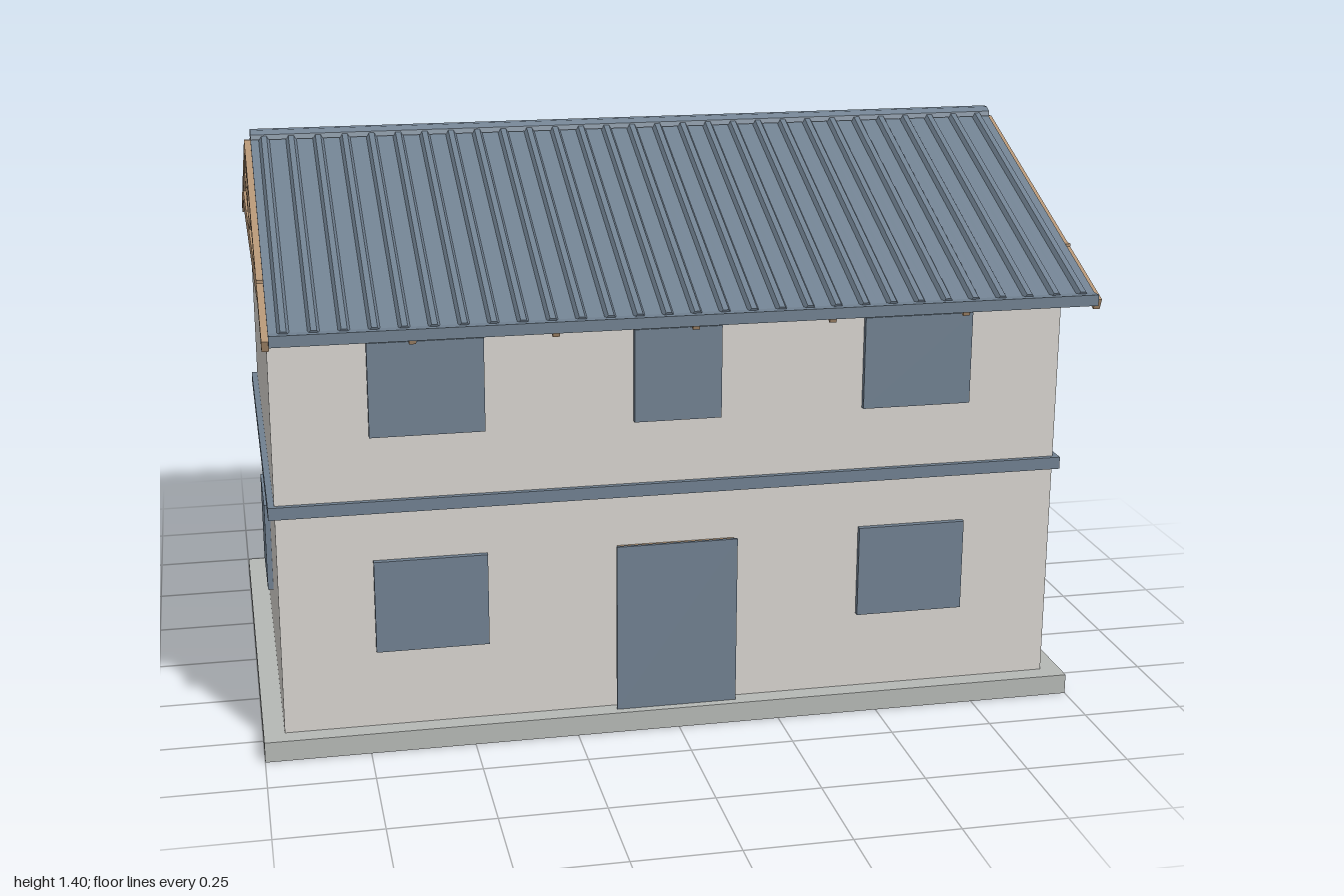
import * as THREE from 'three';

const mat = (name, color, side = THREE.FrontSide) => {
  const m = new THREE.MeshStandardMaterial({ color, side });
  m.name = name;
  return m;
};

export function createModel() {
  const house = new THREE.Group();
  house.name = 'house';
  const slate = mat('slate blue', 0x708090);
  const plaster = mat('plaster', 0xd6d3ce);
  const gableWhite = mat('gable white', 0xe6e5e2);
  const concrete = mat('concrete', 0xb5b8b5);
  const timber = mat('timber', 0xb39474);

  const add = (name, geo, material, parent = house) => {
    const mesh = new THREE.Mesh(geo, material);
    mesh.name = name;
    parent.add(mesh);
    return mesh;
  };
  // Box given by its lower and upper limits on each axis
  const box = (name, material, x0, x1, y0, y1, z0, z1, parent = house) => {
    const m = add(name, new THREE.BoxGeometry(x1 - x0, y1 - y0, z1 - z0), material, parent);
    m.position.set((x0 + x1) / 2, (y0 + y1) / 2, (z0 + z1) / 2);
    return m;
  };

  // Foundation, walls and storey band
  box('foundation', concrete, -1, 1, 0, 0.05, -0.617, 0.617);
  box('walls', plaster, -0.95, 0.95, 0.05, 1.103, -0.57, 0.57);
  box('storeyBand', slate, -0.965, 0.965, 0.59, 0.62, -0.583, 0.583);

  // Windows on the front and both ends
  for (const [x0, x1] of [[-0.727, -0.458], [0.455, 0.722]]) {
    box('lowerWindow', slate, x0, x1, 0.243, 0.47, 0.57, 0.584);
    box('upperWindow', slate, x0, x1, 0.775, 1.0, 0.57, 0.584);
  }
  box('middleWindow', slate, -0.105, 0.105, 0.775, 1.0, 0.57, 0.584);
  for (const s of [-1, 1]) {
    const a = s * 0.95, b = s * 0.964;
    box('endWindow', slate, Math.min(a, b), Math.max(a, b), 0.243, 0.47, -0.125, 0.128);
  }

  // Door: timber core with a slate face
  box('doorCore', timber, -0.145, 0.142, 0.05, 0.465, 0.57, 0.588);
  box('doorFace', slate, -0.15, 0.146, 0.05, 0.47, 0.588, 0.596);

  // Timber bar in the z-y plane
  const bar = (name, parent, z0, y0, z1, y1, width, depth) => {
    const len = Math.hypot(z1 - z0, y1 - y0);
    const m = add(name, new THREE.BoxGeometry(depth, width, len), timber, parent);
    m.position.set(0, (y0 + y1) / 2, (z0 + z1) / 2);
    m.rotation.x = -Math.atan2(y1 - y0, z1 - z0);
  };

  // Seven roof trusses, the outer two exposed on the gables
  for (let i = -3; i <= 3; i++) {
    const truss = new THREE.Group();
    truss.name = 'truss';
    truss.position.x = i * 0.319;
    house.add(truss);
    bar('bottomChord', truss, -0.57, 1.142, 0.57, 1.142, 0.026, 0.016);
    bar('kingPost', truss, 0, 1.155, 0, 1.352, 0.013, 0.014);
    for (const s of [-1, 1]) {
      bar('rafter', truss, 0, 1.363, s * 0.767, 1.054, 0.027, 0.016);
      bar('brace', truss, s * 0.01, 1.16, s * 0.27, 1.245, 0.015, 0.012);
    }
  }

  // Wall plates and gable ends
  for (const s of [-1, 1]) {
    box('wallPlate', timber, -0.955, 0.955, 1.103, 1.13, s * 0.557 - 0.013, s * 0.557 + 0.013);
    box('gableBeam', timber, s * 0.957 - 0.008, s * 0.957 + 0.008, 1.103, 1.13, -0.54, 0.54);
    const outline = new THREE.Shape([[-0.565, 1.1], [0.565, 1.1], [0.565, 1.13], [0, 1.36], [-0.565, 1.13]]
      .map(([z, y]) => new THREE.Vector2(z, y)));
    const panel = add('gablePanel', new THREE.ExtrudeGeometry(outline, { depth: 0.008, bevelEnabled: false }), gableWhite);
    panel.rotation.y = -Math.PI / 2;
    panel.position.x = s * 0.942 + 0.004;
  }

  // Ribbed sheet profile: trapezoid ribs above a thin pan
  const half = 0.95, ribs = 29, pitch = (2 * half) / ribs;
  const sheet = new THREE.Shape();
  sheet.moveTo(-half, -0.006);
  sheet.lineTo(half, -0.006);
  for (let i = ribs - 1; i >= 0; i--) {
    const x = -half + i * pitch;
    sheet.lineTo(x + pitch, 0);
    sheet.lineTo(x + pitch * 0.7, 0);
    sheet.lineTo(x + pitch * 0.6, 0.01);
    sheet.lineTo(x + pitch * 0.4, 0.01);
    sheet.lineTo(x + pitch * 0.3, 0);
  }
  sheet.lineTo(-half, 0);
  const sheetGeo = new THREE.ExtrudeGeometry(sheet, { depth: 0.83, bevelEnabled: false });

  // Two mirrored roof slopes, each with its eave gutter
  for (const turn of [0, Math.PI]) {
    const slope = new THREE.Group();
    slope.name = 'roofSlope';
    slope.rotation.y = turn;
    house.add(slope);
    const roof = add('roofSheet', sheetGeo, slate, slope);
    roof.position.y = 1.388;
    roof.rotation.x = Math.atan2(0.309, 0.767);
    box('gutter', slate, -half, half, 1.056, 1.082, 0.763, 0.788, slope);
  }

  // Ridge cap
  const cap = new THREE.Shape([[-0.03, 1.379], [0.03, 1.379], [0.027, 1.391], [0.011, 1.4], [-0.011, 1.4], [-0.027, 1.391]]
    .map(([z, y]) => new THREE.Vector2(z, y)));
  const ridge = add('ridgeCap', new THREE.ExtrudeGeometry(cap, { depth: 2 * half, bevelEnabled: false }), slate);
  ridge.rotation.y = -Math.PI / 2;
  ridge.position.x = half;

  return house;
}
